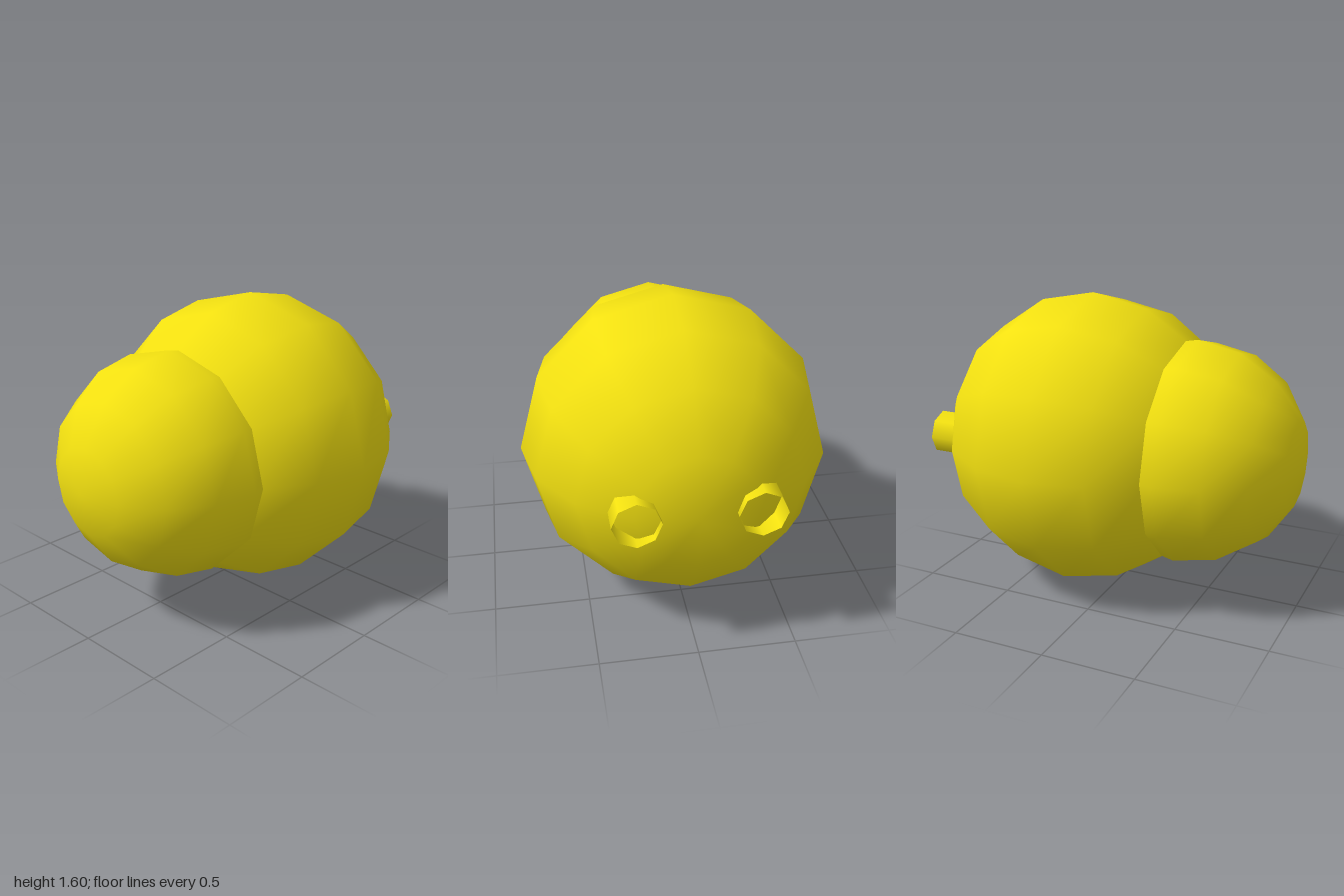
import * as THREE from 'three';

export function createModel() {
  const group = new THREE.Group();
  const yellow = new THREE.MeshStandardMaterial({ color: 0xf2e010 });
  const openYellow = yellow.clone();
  openYellow.side = THREE.DoubleSide;

  const add = (name, geometry, material, x, z) => {
    const mesh = new THREE.Mesh(geometry, material);
    mesh.name = name;
    mesh.position.set(x, 0.8, z);
    group.add(mesh);
  };

  // Low-poly ball with its poles along z
  const ball = (radius) => new THREE.SphereGeometry(radius, 12, 8).rotateX(Math.PI / 2);

  // Large rear body and smaller front bulb
  add('body', ball(0.8), yellow, 0, -0.2);
  add('frontBulb', ball(0.6), yellow, 0, 0.4);

  // Pair of open tubes on the back
  for (const side of [1, -1]) {
    const tube = new THREE.CylinderGeometry(0.12, 0.12, 0.2, 8, 1, true).rotateX(Math.PI / 2);
    add(side > 0 ? 'leftTube' : 'rightTube', tube, openYellow, side * 0.3, -0.9);
  }

  return group;
}
